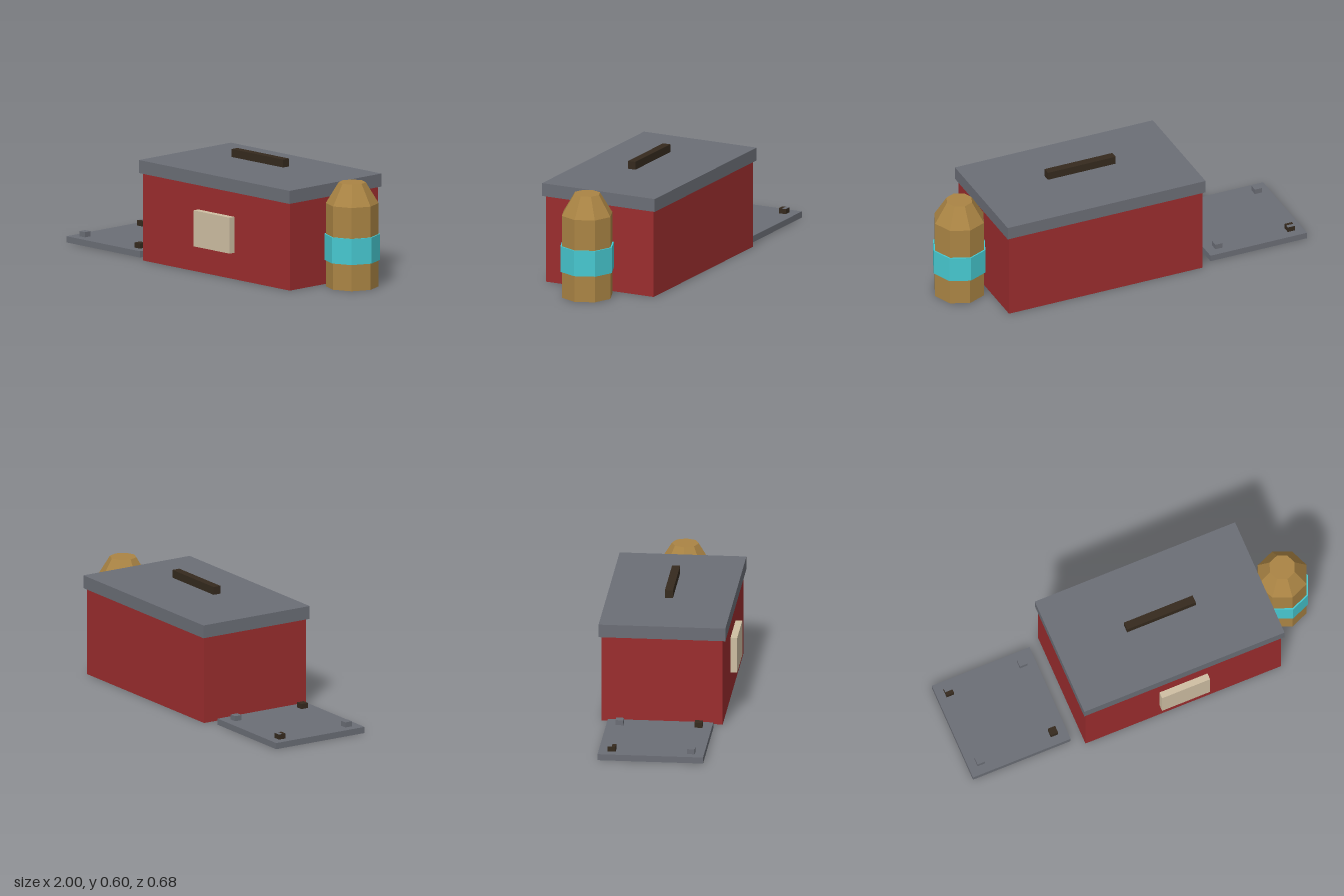
import * as THREE from 'three';

const paint = (name, color) => {
  const m = new THREE.MeshStandardMaterial({ color });
  m.name = name;
  return m;
};

export function createModel() {
  const group = new THREE.Group();
  const red = paint('red', 0x9b2d2e);
  const grey = paint('grey', 0x6b6e76);
  const dark = paint('darkBrown', 0x352a1e);
  const cream = paint('cream', 0xcfbfa3);
  const brown = paint('ochre', 0xaa8444);
  const teal = paint('teal', 0x47c8d0);
  brown.flatShading = teal.flatShading = true;

  const add = (name, geometry, material, x, y, z) => {
    const mesh = new THREE.Mesh(geometry, material);
    mesh.name = name;
    mesh.position.set(x, y, z);
    group.add(mesh);
    return mesh;
  };
  // Box given by its centre in x and z, and its bottom in y
  const box = (name, material, w, h, d, x, y, z) =>
    add(name, new THREE.BoxGeometry(w, h, d), material, x, y + h / 2, z);
  // Eight-sided section with corners on the x and z axes
  const drum = (name, material, rTop, rBottom, h, y, open = false) =>
    add(name, new THREE.CylinderGeometry(rTop, rBottom, h, 8, 1, open), material, 0.854, y + h / 2, -0.01);

  // Chest with overhanging lid, raised handle and front plate
  box('chestBody', red, 1.1, 0.463, 0.632, 0.165, 0, -0.011);
  box('chestLid', grey, 1.126, 0.069, 0.66, 0.165, 0.462, -0.01);
  box('lidHandle', dark, 0.386, 0.042, 0.042, 0.166, 0.558, -0.01);
  box('frontPlate', cream, 0.27, 0.19, 0.036, 0.166, 0.14, 0.322);

  // Bottle: straight body, tapering shoulder, band
  drum('bottleBody', brown, 0.137, 0.137, 0.44, 0);
  drum('bottleShoulder', brown, 0.07, 0.137, 0.11, 0.44);
  drum('bottleBand', teal, 0.145, 0.145, 0.137, 0.14);

  // Flat slab with a stud near each corner, dark ones on one diagonal
  box('slab', grey, 0.549, 0.033, 0.549, -0.725, 0, -0.012);
  for (const sx of [-1, 1]) {
    for (const sz of [-1, 1]) {
      box('slabStud', sx === sz ? dark : grey, 0.041, 0.027, 0.041,
        -0.727 + sx * 0.206, 0.033, -0.012 + sz * 0.206);
    }
  }
  // Grey half on top of the rear dark stud
  box('studCap', grey, 0.041, 0.001, 0.021, -0.933, 0.06, -0.228);

  return group;
}
